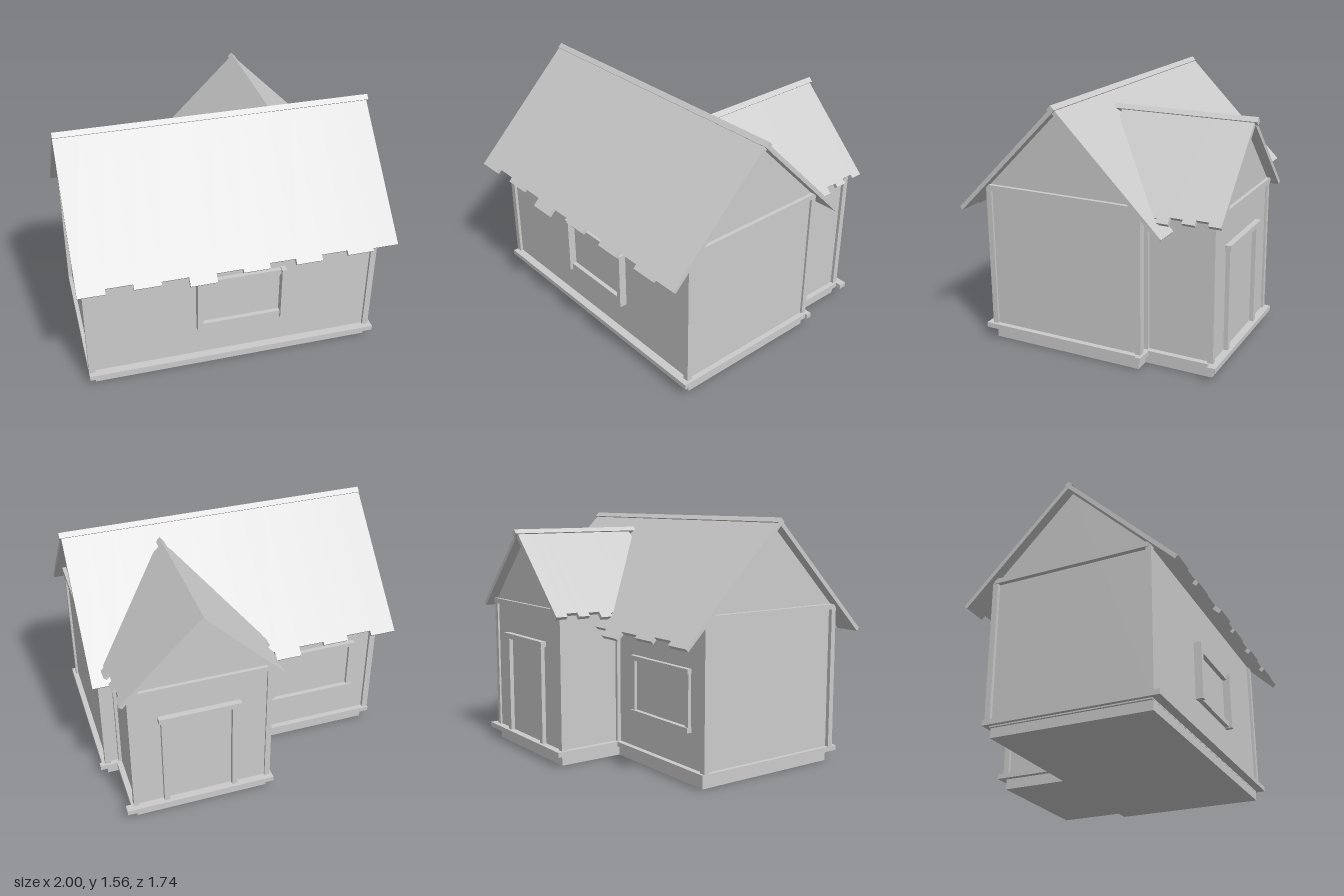
import * as THREE from 'three';

const material = new THREE.MeshStandardMaterial({ color: 0xcccccc, flatShading: true });

function add(parent, name, geometry) {
  const mesh = new THREE.Mesh(geometry, material);
  mesh.name = name;
  parent.add(mesh);
  return mesh;
}

// Box given by its extents on each axis
function box(parent, name, [x0, x1], [y0, y1], [z0, z1]) {
  const mesh = add(parent, name, new THREE.BoxGeometry(x1 - x0, y1 - y0, z1 - z0));
  mesh.position.set((x0 + x1) / 2, (y0 + y1) / 2, (z0 + z1) / 2);
  return mesh;
}

// Solid house block with 45 degree gables, extruded along z and centred on x
function gableBody(parent, name, half, apex, depth) {
  const shape = new THREE.Shape([
    [-half, 0.06], [half, 0.06], [half, apex - half], [0, apex], [-half, apex - half],
  ].map(([x, y]) => new THREE.Vector2(x, y)));
  return add(parent, name, new THREE.ExtrudeGeometry(shape, { depth, bevelEnabled: false }));
}

// Pitched roof with its ridge along local x: strips of uneven length on both slopes
function pitchedRoof(name, x0, x1, reaches, ridgeX0, ridgeX1) {
  const roof = new THREE.Group();
  roof.name = name;
  const width = (x1 - x0) / reaches.length;
  const t = 0.026;
  for (const s of [1, -1]) {
    const slope = new THREE.Group();
    slope.name = s > 0 ? 'roofSlopeA' : 'roofSlopeB';
    slope.rotation.x = s * Math.PI / 4;
    reaches.forEach((reach, i) => {
      const length = reach * Math.SQRT2;
      const strip = add(slope, 'roofStrip', new THREE.BoxGeometry(width, t, length));
      strip.position.set(x0 + width * (i + 0.5), -t / 2, s * length / 2);
    });
    roof.add(slope);
  }
  const ridge = add(roof, 'ridgeBeam', new THREE.BoxGeometry(ridgeX1 - ridgeX0, 0.036, 0.036));
  ridge.position.set((ridgeX0 + ridgeX1) / 2, -0.014, 0);
  ridge.rotation.x = Math.PI / 4;
  return roof;
}

export function createModel() {
  const house = new THREE.Group();
  house.name = 'house';

  // Foundations
  box(house, 'mainFoundation', [-0.92, 0.915], [0, 0.07], [-0.36, 0.645]);
  box(house, 'wingFoundation', [-0.04, 0.82], [0, 0.07], [-0.79, -0.3]);

  // Walls
  const main = gableBody(house, 'mainWalls', 0.503, 1.515, 1.85);
  main.rotation.y = Math.PI / 2;
  main.position.set(-0.935, 0, 0.143);
  const wing = gableBody(house, 'wingWalls', 0.43, 1.426, 0.79);
  wing.position.set(0.39, 0, -0.79);

  // Corner posts
  for (const x of [[-0.96, -0.92], [0.892, 0.93]]) {
    box(house, 'cornerPost', x, [0.07, 1.0], [0.63, 0.665]);
    box(house, 'cornerPost', x, [0.07, 1.0], [-0.38, -0.345]);
  }
  for (const x of [[-0.06, -0.025], [0.805, 0.84]]) {
    box(house, 'wingCornerPost', x, [0.07, 0.98], [-0.803, -0.765]);
    box(house, 'wingInnerPost', x, [0.07, 0.98], [-0.385, -0.35]);
  }

  // Base trim boards around the main block and the wing
  const trimY = [0.068, 0.1];
  box(house, 'frontBaseTrim', [-0.96, 0.93], trimY, [0.645, 0.7]);
  box(house, 'backBaseTrim', [-0.96, -0.04], trimY, [-0.395, -0.36]);
  box(house, 'backBaseTrim', [0.82, 0.965], trimY, [-0.395, -0.36]);
  box(house, 'sideBaseTrim', [0.915, 0.95], trimY, [-0.36, 0.7]);
  box(house, 'sideBaseTrim', [-0.96, -0.92], trimY, [-0.36, 0.7]);
  box(house, 'wingBackBaseTrim', [-0.075, 0.89], trimY, [-0.837, -0.785]);
  box(house, 'wingSideBaseTrim', [-0.075, -0.04], trimY, [-0.82, -0.36]);
  box(house, 'wingSideBaseTrim', [0.82, 0.855], trimY, [-0.82, -0.36]);

  // Horizontal beams under the gables
  for (const x of [[-0.965, -0.92], [0.9, 0.94]]) {
    box(house, 'gableBeam', x, [0.985, 1.018], [-0.37, 0.655]);
  }
  box(house, 'wingGableBeam', [-0.05, 0.83], [0.955, 0.99], [-0.812, -0.78]);

  // Front window frame
  for (const x of [[-0.255, -0.22], [0.29, 0.322]]) {
    box(house, 'frontWindowJamb', x, [0.315, 0.695], [0.64, 0.695]);
  }
  for (const y of [[0.32, 0.357], [0.655, 0.69]]) {
    box(house, 'frontWindowRail', [-0.225, 0.295], y, [0.64, 0.675]);
  }

  // Back window frame
  for (const y of [[0.315, 0.345], [0.665, 0.695]]) {
    box(house, 'backWindowRail', [-0.81, -0.22], y, [-0.39, -0.35]);
  }
  for (const x of [[-0.805, -0.775], [-0.25, -0.225]]) {
    box(house, 'backWindowJamb', x, [0.32, 0.69], [-0.38, -0.35]);
  }

  // Door frame on the wing
  box(house, 'doorLintel', [0.145, 0.66], [0.735, 0.77], [-0.827, -0.78]);
  for (const x of [[0.165, 0.2], [0.61, 0.645]]) {
    box(house, 'doorJamb', x, [0.07, 0.74], [-0.817, -0.78]);
  }

  // Main roof, ridge along x
  const mainRoof = pitchedRoof('mainRoof', -1, 0.985,
    [0.695, 0.672, 0.695, 0.68, 0.72, 0.682, 0.698, 0.675, 0.7, 0.675, 0.695, 0.683], -1, 0.997);
  mainRoof.position.set(0, 1.55, 0.145);
  house.add(mainRoof);

  // Wing roof, ridge along z, running into the main roof
  const wingRoof = pitchedRoof('wingRoof', 0, 0.855,
    [0.4, 0.4, 0.4, 0.4, 0.5, 0.505, 0.525, 0.493, 0.511, 0.488, 0.505], -0.055, 0.872);
  wingRoof.rotation.y = Math.PI / 2;
  wingRoof.position.set(0.39, 1.462, 0);
  house.add(wingRoof);

  return house;
}
